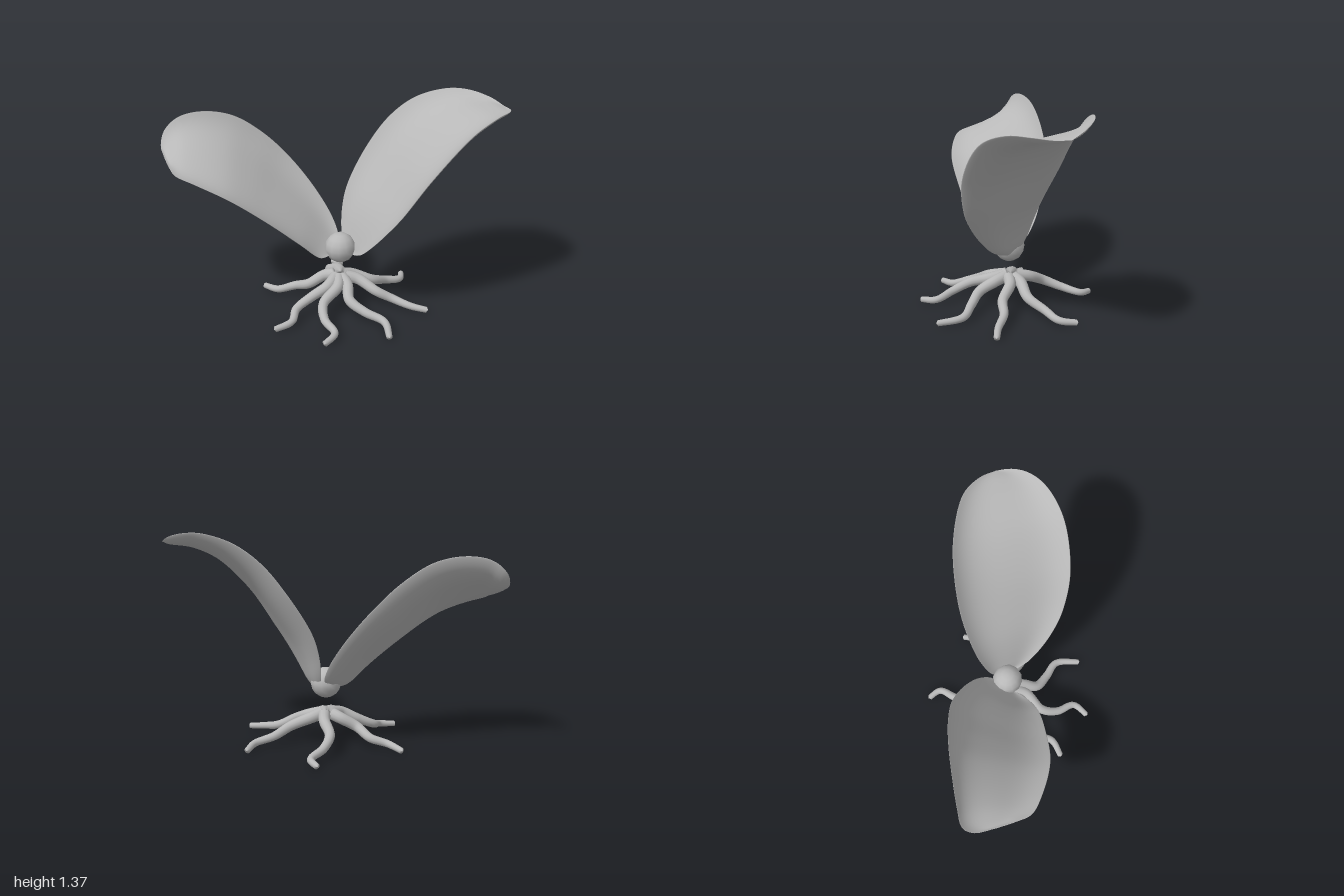
import * as THREE from 'three';

const grey = new THREE.MeshStandardMaterial({ color: 0xb8b8b8 });
grey.name = 'plain grey';

const curve = (pts) => new THREE.CatmullRomCurve3(pts.map((p) => new THREE.Vector3(...p)));

// Cupped leaf with a rounded rim: flat rings run between a back and a front
// edge and sag in the middle
function leaf(name, backPts, frontPts, cup) {
  const back = curve(backPts), front = curve(frontPts);
  const rows = 56, sides = 48, pos = [], idx = [];
  const mid = (u) => back.getPointAt(u).add(front.getPointAt(u)).multiplyScalar(0.5);
  for (let i = 0; i <= rows; i++) {
    const u = i / rows;
    const a = back.getPointAt(u), b = front.getPointAt(u);
    const chord = b.clone().sub(a), width = chord.length();
    const normal = mid(Math.min(1, u + 0.03)).sub(mid(Math.max(0, u - 0.03))).cross(chord).normalize();
    const half = Math.min(0.014, 0.05 * width);
    for (let j = 0; j < sides; j++) {
      const angle = (j / sides) * Math.PI * 2, s = -Math.cos(angle);
      const p = a.clone().lerp(b, (1 + s) / 2);
      p.addScaledVector(normal, cup * width * (1 - s ** 4) + half * Math.sin(angle));
      pos.push(p.x, p.y, p.z);
      if (i < rows) {
        const k = i * sides + j, k1 = i * sides + ((j + 1) % sides);
        idx.push(k, k + sides, k1, k1, k + sides, k1 + sides);
      }
    }
  }
  const geo = new THREE.BufferGeometry();
  geo.setAttribute('position', new THREE.Float32BufferAttribute(pos, 3));
  geo.setIndex(idx);
  geo.computeVertexNormals();
  const mesh = new THREE.Mesh(geo, grey);
  mesh.name = name;
  return mesh;
}

// Tapered wavy root; path points are [x, z], height falls with distance
function root(path) {
  const heights = [0.205, 0.183, 0.127, 0.078, 0.048, 0.032];
  const c = curve(path.map(([x, z], i) => [x, heights[i], z]));
  const segs = 60, sides = 12;
  const geo = new THREE.TubeGeometry(c, segs, 1, sides, false);
  const pos = geo.attributes.position, v = new THREE.Vector3();
  for (let k = 0; k < pos.count; k++) {
    const i = Math.floor(k / (sides + 1));
    const centre = c.getPointAt(i / segs);
    const r = i === 0 || i === segs ? 0 : 0.04 - 0.021 * (i / segs);
    v.fromBufferAttribute(pos, k).sub(centre).multiplyScalar(r).add(centre);
    pos.setXYZ(k, v.x, v.y, v.z);
  }
  const mesh = new THREE.Mesh(geo, grey);
  mesh.name = 'root';
  return mesh;
}

export function createModel() {
  const model = new THREE.Group();
  model.name = 'sprout';

  // Seed ball between the leaves
  const seed = new THREE.Mesh(new THREE.SphereGeometry(0.1, 12, 8), grey);
  seed.name = 'seed';
  seed.position.set(0, 0.408, 0.01);
  model.add(seed);

  // Tall leaf on the left
  model.add(leaf('leftLeaf',
    [[0.055, 0.365, 0.03], [0.05, 0.4, -0.04], [0.055, 0.48, -0.09], [0.08, 0.62, -0.135],
      [0.13, 0.76, -0.167], [0.28, 1.0, -0.19], [0.44, 1.2, -0.167], [0.6, 1.32, -0.115],
      [0.78, 1.378, -0.02], [0.89, 1.375, 0.065], [0.97, 1.345, 0.19], [1, 1.312, 0.3]],
    [[0.055, 0.365, 0.03], [0.06, 0.375, 0.1], [0.068, 0.41, 0.18], [0.095, 0.5, 0.28],
      [0.14, 0.62, 0.38], [0.2, 0.75, 0.463], [0.34, 1.0, 0.555], [0.58, 1.245, 0.588],
      [0.78, 1.325, 0.55], [0.91, 1.328, 0.48], [0.98, 1.315, 0.39], [1, 1.312, 0.3]], 0.12));

  // Lower, tilted leaf on the right
  model.add(leaf('rightLeaf',
    [[-0.04, 0.37, -0.01], [0.03, 0.43, -0.08], [0.03, 0.53, -0.16], [-0.04, 0.71, -0.28],
      [-0.18, 0.93, -0.41], [-0.34, 1.1, -0.48], [-0.52, 1.22, -0.53], [-0.71, 1.257, -0.57],
      [-0.86, 1.228, -0.597], [-0.95, 1.15, -0.605], [-0.99, 1.075, -0.55], [-1, 1.025, -0.42]],
    [[-0.04, 0.37, -0.01], [-0.1, 0.375, 0.04], [-0.18, 0.4, 0.09], [-0.31, 0.52, 0.11],
      [-0.5, 0.685, 0.08], [-0.72, 0.85, 0.015], [-0.9, 0.942, -0.11], [-0.99, 0.978, -0.21],
      [-1, 1.0, -0.31], [-1, 1.025, -0.42]], 0.12 * -1));

  // Roots spreading over the ground
  const roots = new THREE.Group();
  roots.name = 'roots';
  [
    [[0.02, -0.03], [0.04, -0.12], [0.035, -0.24], [0.1, -0.34], [0.2, -0.43], [0.18, -0.525]],
    [[0.03, 0.0], [0.1, -0.01], [0.23, 0.02], [0.35, -0.02], [0.475, -0.04], [0.545, -0.14]],
    [[0.02, 0.03], [0.1, 0.07], [0.18, 0.18], [0.27, 0.23], [0.36, 0.33], [0.45, 0.4]],
    [[0.0, 0.03], [0.0, 0.12], [-0.03, 0.22], [0.03, 0.32], [0.11, 0.43], [0.065, 0.595]],
    [[-0.02, 0.03], [-0.07, 0.12], [-0.2, 0.19], [-0.24, 0.3], [-0.23, 0.43], [-0.33, 0.495]],
    [[-0.03, 0.01], [-0.12, 0.08], [-0.24, 0.08], [-0.35, 0.1], [-0.42, 0.19], [-0.545, 0.21]],
    [[-0.03, -0.02], [-0.08, -0.07], [-0.18, -0.1], [-0.24, -0.2], [-0.34, -0.25], [-0.4, -0.37]],
  ].forEach((path) => roots.add(root(path)));
  model.add(roots);

  return model;
}
